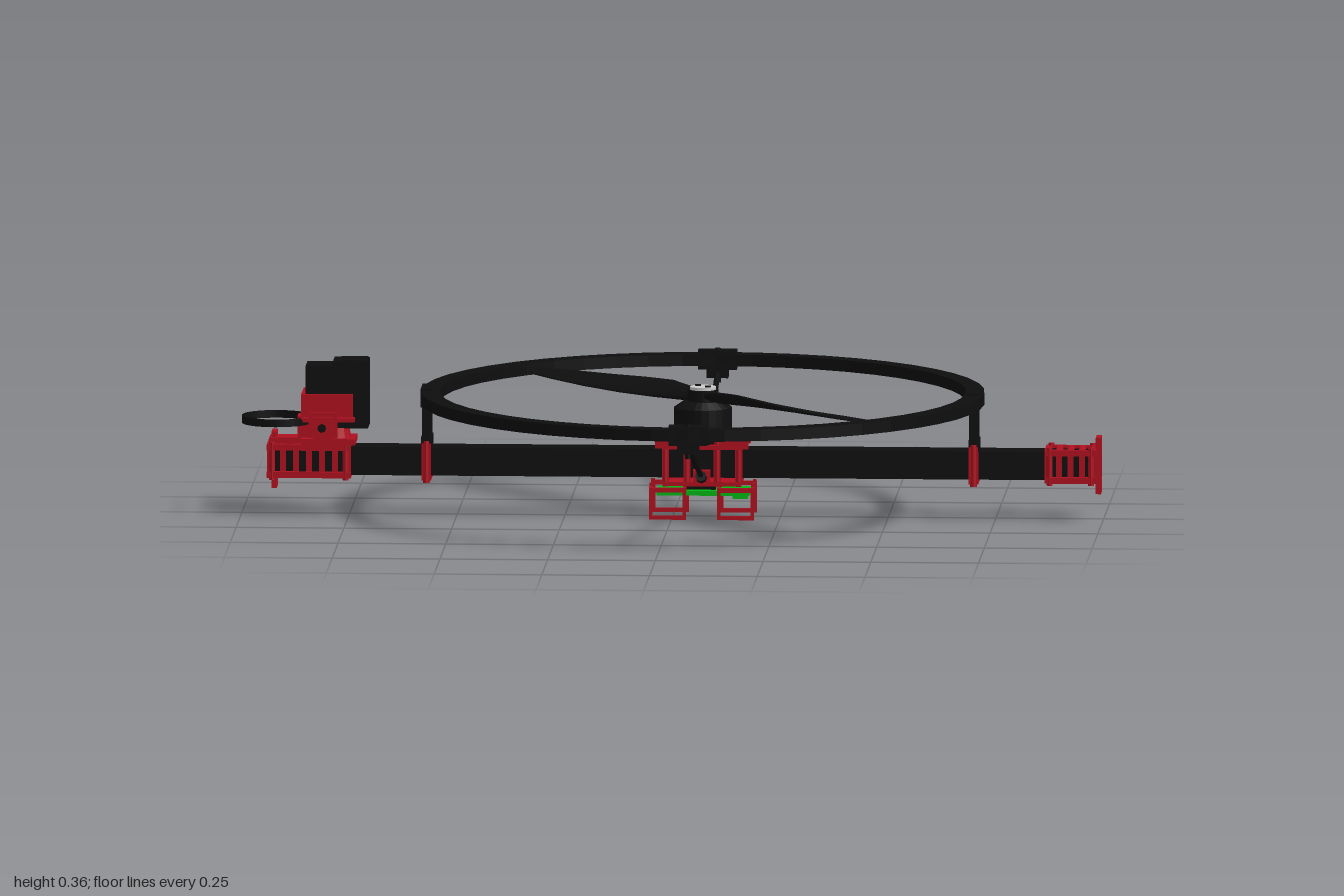
import * as THREE from 'three';

const BLACK = new THREE.MeshStandardMaterial({ color: 0x0e0e0e, flatShading: true });
const RED = new THREE.MeshStandardMaterial({ color: 0xb01020, flatShading: true });
const GREEN = new THREE.MeshStandardMaterial({ color: 0x00b812, flatShading: true });
const GREY = new THREE.MeshStandardMaterial({ color: 0xcccccc });
const BAND = new THREE.MeshStandardMaterial({ color: 0x0e0e0e, side: THREE.DoubleSide });

const BEAM_Y = 0.127, HUB_X = 0.07;

export function createModel() {
  const model = new THREE.Group();

  const add = (name, geo, mat, x = 0, y = 0, z = 0, parent = model) => {
    const m = new THREE.Mesh(geo, mat);
    m.name = name;
    m.position.set(x, y, z);
    parent.add(m);
    return m;
  };
  // Box given by its min and max on each axis
  const box = (name, mat, x0, x1, y0, y1, z0, z1, parent) =>
    add(name, new THREE.BoxGeometry(x1 - x0, y1 - y0, z1 - z0), mat,
      (x0 + x1) / 2, (y0 + y1) / 2, (z0 + z1) / 2, parent);
  const cyl = (name, mat, r0, r1, h, x, y, z, n = 24, parent) =>
    add(name, new THREE.CylinderGeometry(r0, r1, h, n), mat, x, y, z, parent);
  // Hollow rectangular sleeve running along x around the beam
  const sleeve = (name, mat, x0, x1, w, h, hw = 0.062, hh = 0.064, parent) => {
    const rect = (C, a, b) => new C([[-a, -b], [a, -b], [a, b], [-a, b]].map(p => new THREE.Vector2(...p)));
    const s = rect(THREE.Shape, w / 2, h / 2);
    s.holes.push(rect(THREE.Path, hw / 2, hh / 2));
    const g = new THREE.ExtrudeGeometry(s, { depth: x1 - x0, bevelEnabled: false });
    return add(name, g.rotateY(Math.PI / 2), mat, x0, BEAM_Y, 0, parent);
  };
  const rod = (name, mat, a, b, r, n = 8, parent) => {
    const va = new THREE.Vector3(...a), d = new THREE.Vector3(...b).sub(va);
    const m = add(name, new THREE.CylinderGeometry(r, r, d.length(), n), mat, 0, 0, 0, parent);
    m.position.copy(va).addScaledVector(d, 0.5);
    m.quaternion.setFromUnitVectors(new THREE.Vector3(0, 1, 0), d.normalize());
    return m;
  };
  const group = name => {
    const g = new THREE.Group();
    g.name = name;
    model.add(g);
    return g;
  };

  // Main hollow beam
  sleeve('beam', BLACK, -0.93, 0.98, 0.064, 0.066, 0.058, 0.06);

  // Guard ring: rectangular section swept round
  const ringProfile = [[0.61, 0.265], [0.653, 0.265], [0.653, 0.292], [0.61, 0.292], [0.61, 0.265]]
    .map(p => new THREE.Vector2(...p));
  add('guardRing', new THREE.LatheGeometry(ringProfile, 48), BLACK, HUB_X);

  // Ring posts clamped to the beam
  for (const x of [-0.57, 0.70]) {
    const g = group('ringPost');
    for (const s of [-1, 1]) {
      box('postLeg', BLACK, x - 0.01, x + 0.01, 0.16, 0.27, s * 0.03 - 0.008, s * 0.03 + 0.008, g);
      rod('clampBolt', RED, [x, 0.078, s * 0.037], [x, 0.176, s * 0.037], 0.008, 8, g);
    }
    box('postHead', BLACK, x - 0.013, x + 0.013, 0.255, 0.298, -0.045, 0.045, g);
    box('postFoot', BLACK, x - 0.012, x + 0.012, 0.16, 0.185, -0.04, 0.04, g);
    sleeve('beamClamp', RED, x - 0.011, x + 0.011, 0.085, 0.086, 0.064, 0.066, g);
  }

  // Diagonal struts with sockets and ring brackets
  for (const s of [-1, 1]) {
    const g = group('strut');
    rod('strutRod', BLACK, [HUB_X, 0.1, s * 0.06], [HUB_X, 0.25, s * 0.645], 0.0065, 8, g);
    rod('strutSocket', BLACK, [HUB_X, 0.097, s * 0.06], [HUB_X, 0.107, s * 0.1], 0.013, 8, g);
    box('ringBracket', BLACK, HUB_X - 0.045, HUB_X + 0.045, 0.255, 0.3, s * 0.634 - 0.017, s * 0.634 + 0.017, g);
    box('bracketBase', BLACK, HUB_X - 0.025, HUB_X + 0.025, 0.235, 0.256, s * 0.634 - 0.014, s * 0.634 + 0.014, g);
    cyl('bracketBolt', BLACK, 0.007, 0.007, 0.08, HUB_X, 0.263, s * 0.638, 8, g);
  }

  // Motor mount around the beam
  const mount = group('motorMount');
  for (const x of [-0.015, 0.035, 0.105, 0.155]) {
    sleeve('mountFrame', RED, x - 0.008, x + 0.008, 0.092, 0.092, 0.064, 0.066, mount);
    for (const s of [-1, 1])
      rod('mountBolt', RED, [x, 0.075, s * 0.043], [x, 0.19, s * 0.043], 0.007, 8, mount);
  }
  box('mountPlate', RED, -0.02, 0.16, 0.163, 0.173, -0.06, 0.06, mount);
  box('lowerPlate', RED, -0.02, 0.16, 0.076, 0.086, -0.05, 0.05, mount);
  for (const sx of [-1, 1]) for (const sz of [-1, 1]) {
    const x = HUB_X + sx * 0.075;
    box('sideLug', RED, x - 0.033, x + 0.033, 0.165, 0.19, sz * 0.05 - 0.012, sz * 0.05 + 0.012, mount);
  }
  for (const s of [-1, 1])
    box('strutLug', RED, HUB_X - 0.02, HUB_X + 0.02, 0.085, 0.115, s * 0.055 - 0.012, s * 0.055 + 0.012, mount);

  // Motor
  cyl('motorBase', BLACK, 0.058, 0.05, 0.03, HUB_X, 0.186, 0, 24);
  cyl('motorCan', BLACK, 0.067, 0.067, 0.055, HUB_X, 0.2275, 0, 24);
  cyl('motorTop', BLACK, 0.045, 0.067, 0.015, HUB_X, 0.2625, 0, 24);
  cyl('propellerHub', BLACK, 0.036, 0.036, 0.032, HUB_X, 0.28, 0, 24);
  cyl('hubCap', GREY, 0.03, 0.03, 0.008, HUB_X, 0.299, 0, 24);
  for (const s of [-1, 1]) cyl('hubScrew', BLACK, 0.007, 0.007, 0.004, HUB_X + s * 0.012, 0.304, s * 0.012, 10);

  // Propeller blades: lofted oval sections [radius, chord, thickness, twist, lift]
  const sections = [[0.0, 0.045, 0.024, 0.2, 0], [0.07, 0.055, 0.022, 0.42, 0.002], [0.14, 0.078, 0.016, 0.42, 0.004],
    [0.24, 0.094, 0.013, 0.3, 0.002], [0.36, 0.096, 0.011, 0.2, 0], [0.47, 0.086, 0.009, 0.14, 0],
    [0.55, 0.068, 0.007, 0.1, 0], [0.583, 0.04, 0.005, 0.08, 0], [0.59, 0.004, 0.002, 0.08, 0]];
  const N = 12, pos = [], idx = [];
  sections.forEach(([r, c, t, tw, lift], i) => {
    for (let j = 0; j < N; j++) {
      const a = j / N * Math.PI * 2, u = Math.cos(a) * c / 2, v = Math.sin(a) * t / 2;
      pos.push(r, lift + u * Math.sin(tw) + v * Math.cos(tw), u * Math.cos(tw) - v * Math.sin(tw));
      if (i) {
        const k = (j + 1) % N, p = (i - 1) * N, q = i * N;
        idx.push(p + j, p + k, q + j, p + k, q + k, q + j);
      }
    }
  });
  const bladeGeo = new THREE.BufferGeometry();
  bladeGeo.setAttribute('position', new THREE.Float32BufferAttribute(pos, 3));
  bladeGeo.setIndex(idx);
  bladeGeo.computeVertexNormals();
  for (const turn of [0, Math.PI])
    add('propellerBlade', bladeGeo, BAND, HUB_X, 0.28, 0).rotation.y = turn - Math.PI / 4;

  // Circuit board and battery bits under the mount
  box('circuitBoard', GREEN, -0.035, 0.18, 0.053, 0.064, -0.043, 0.043);
  box('boardConnector', GREEN, 0.14, 0.175, 0.043, 0.056, -0.02, 0.02);
  box('boardChip', BLACK, 0.03, 0.1, 0.064, 0.072, -0.02, 0.02);

  // Landing legs: U-shaped hoops with arms back to the mount
  for (const sx of [-1, 1]) for (const sz of [-1, 1]) {
    const g = group('landingLeg');
    const x0 = HUB_X + sx * 0.04, x1 = HUB_X + sx * 0.118, z = sz * 0.065, t = 0.004;
    for (const x of [x0, x1]) {
      box('legUpright', RED, x - t, x + t, 0, 0.072, z - t, z + t, g);
      box('legArm', RED, x - t, x + t, 0.064, 0.074, Math.min(z, sz * 0.03), Math.max(z, sz * 0.03), g);
      box('legPost', RED, x - t, x + t, 0.066, 0.082, sz * 0.036 - t, sz * 0.036 + t, g);
    }
    const a = Math.min(x0, x1), b = Math.max(x0, x1);
    box('legFoot', RED, a, b, 0, 0.009, z - t, z + t, g);
    box('legTop', RED, a, b, 0.064, 0.074, z - t, z + t, g);
    box('legBrace', RED, a, b, 0.036, 0.042, Math.min(z, sz * 0.04), Math.min(z, sz * 0.04) + 0.025, g).visible = false;
  }

  // End clamps: slotted sleeves with tall end fins
  const endClamp = (name, x0, x1, finX) => {
    const g = group(name);
    const count = Math.round((x1 - x0) / 0.03);
    for (let i = 0; i <= count; i++) {
      const x = x0 + (x1 - x0 - 0.014) * i / count;
      sleeve('clampRib', RED, x, x + 0.014, 0.08, 0.078, 0.064, 0.066, g);
    }
    for (const sy of [-1, 1]) for (const sz of [-1, 1]) {
      const y = BEAM_Y + sy * 0.032, z = sz * 0.041;
      box('clampRail', RED, x0, x1, y - 0.007, y + 0.007, z - 0.007, z + 0.007, g);
    }
    sleeve('endFin', RED, finX - 0.006, finX + 0.006, 0.05, 0.132, 0.049, 0.066, g);
    for (const sx of [x0 + 0.012, x1 - 0.012]) for (const s of [-1, 1])
      rod('clampBolt', RED, [sx, 0.083, s * 0.042], [sx, 0.171, s * 0.042], 0.007, 8, g);
  };
  endClamp('rightEndClamp', 0.865, 0.985, 0.989);
  endClamp('tailClamp', -0.94, -0.745, -0.924);

  // Tail servo bracket
  const tail = group('tailUnit');
  box('bracketBase', RED, -0.86, -0.735, 0.165, 0.18, -0.05, 0.05, tail);
  cyl('pivot', RED, 0.035, 0.045, 0.05, -0.79, 0.2, 0, 16, tail);
  for (const s of [-1, 1]) {
    box('bracketSide', RED, -0.84, -0.775, 0.185, 0.245, s * 0.066 - 0.006, s * 0.066 + 0.006, tail);
    box('bracketEar', RED, -0.83, -0.785, 0.185, 0.235, s * 0.077 - 0.007, s * 0.077 + 0.007, tail);
    box('bracketCheek', RED, -0.86, -0.74, 0.225, 0.285, s * 0.05 - 0.005, s * 0.05 + 0.005, tail);
    rod('earBolt', BLACK, [-0.81, 0.21, s * 0.06], [-0.81, 0.21, s * 0.09], 0.01, 8, tail);
  }
  box('bracketDeck', RED, -0.855, -0.735, 0.222, 0.232, -0.072, 0.072, tail);
  box('bracketShelf', RED, -0.86, -0.78, 0.272, 0.284, -0.045, 0.045, tail);

  // Tail electronics boxes
  box('rearBox', BLACK, -0.85, -0.785, 0.232, 0.35, -0.04, 0.04, tail);
  box('frontBox', BLACK, -0.787, -0.705, 0.205, 0.36, -0.045, 0.045, tail);
  box('boxLid', BLACK, -0.77, -0.708, 0.355, 0.363, -0.035, 0.035, tail);

  // Strap loop and its holder
  add('strapLoop', new THREE.CylinderGeometry(0.08, 0.08, 0.018, 32, 1, true), BAND, -0.92, 0.22, 0, tail);
  box('strapHolder', RED, -0.935, -0.85, 0.163, 0.18, -0.03, 0.03, tail);
  box('strapTab', RED, -0.87, -0.83, 0.178, 0.23, -0.025, 0.025, tail);

  // Drop hidden helpers
  model.traverse(o => o.visible || (o.userData.drop = true));
  for (const g of [...model.children]) for (const c of [...g.children]) if (c.userData.drop) g.remove(c);
  return model;
}
